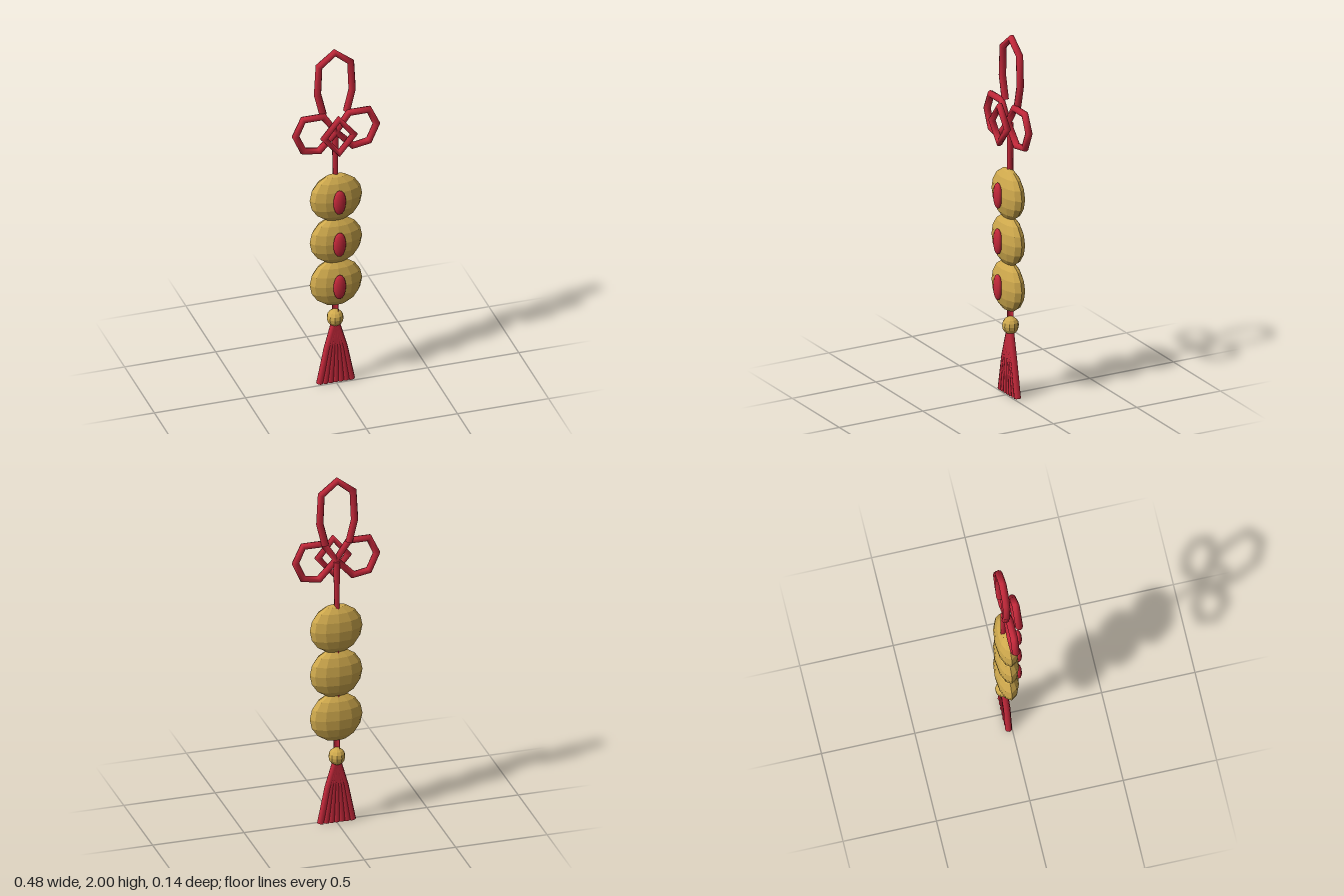
import * as THREE from 'three';

export function createModel() {
  const model = new THREE.Group();
  model.name = 'hangingCharm';
  const red = new THREE.MeshStandardMaterial({ color: 0xc4283a });
  red.name = 'red cord';
  const gold = new THREE.MeshStandardMaterial({ color: 0xcfa94d, flatShading: true });
  gold.name = 'gold bead';

  // Cord whose rings sit exactly on the given [x, y] points, so bends stay angular
  function cord(name, points, z, radius, closed = false) {
    const curve = new THREE.CatmullRomCurve3(
      points.map(([x, y, dz = 0]) => new THREE.Vector3(x, y, z + dz)), closed, 'catmullrom', 0.5);
    curve.getPointAt = (t, target) => curve.getPoint(t, target);
    curve.getTangentAt = (t, target) => curve.getTangent(t, target);
    const segments = closed ? points.length : points.length - 1;
    const group = new THREE.Group();
    group.name = name;
    group.add(new THREE.Mesh(new THREE.TubeGeometry(curve, segments, radius, 8, closed), red));
    // Flat end caps on open cords
    if (!closed) {
      for (const t of [0, 1]) {
        const cap = new THREE.Mesh(new THREE.CircleGeometry(radius, 8), red);
        const direction = curve.getTangent(t).multiplyScalar(t ? 1 : -1);
        cap.position.copy(curve.getPoint(t));
        cap.quaternion.setFromUnitVectors(new THREE.Vector3(0, 0, 1), direction);
        cap.name = name + 'End';
        group.add(cap);
      }
    }
    model.add(group);
  }

  function ellipsoid(name, material, size, position, sides, rings) {
    const mesh = new THREE.Mesh(new THREE.SphereGeometry(1, sides, rings), material);
    mesh.name = name;
    mesh.scale.set(...size);
    mesh.position.set(...position);
    model.add(mesh);
  }

  // Hanging loop, open at the bottom
  cord('hangingLoop', [[-0.065, 1.62], [-0.095, 1.745], [-0.087, 1.91], [0, 1.98],
    [0.087, 1.91], [0.095, 1.745], [0.065, 1.62]], -0.03, 0.02);

  // Knot: two side loops meeting in the middle, with a diamond in front
  for (const [side, name] of [[1, 'leftKnotLoop'], [-1, 'rightKnotLoop']]) {
    cord(name, [[0, 1.515], [0.07, 1.617], [0.18, 1.617], [0.222, 1.525],
      [0.18, 1.43], [0.093, 1.415]].map(([x, y]) => [x * side, y]), -0.01, 0.02, true);
  }
  cord('knotDiamond', [[0, 1.615], [0.082, 1.513], [0, 1.412], [-0.082, 1.513]], 0.04, 0.02, true);

  // Central cord through all the beads
  cord('centralCord', [[0, 0.36], [0, 1.51]], -0.023, 0.019);

  // Flattened beads, each with an oval inlay on the front
  for (const y of [1.12, 0.865, 0.61]) {
    ellipsoid('bead', gold, [0.144, 0.14, 0.061], [0, y, -0.012], 12, 8);
    ellipsoid('beadInlay', red, [0.035, 0.072, 0.02], [0, y, 0.052], 12, 8);
  }
  ellipsoid('tasselBead', gold, [0.045, 0.048, 0.045], [0, 0.385, -0.025], 10, 8);

  // Tassel: a flat fan of strands with a slight bend
  for (let i = -3; i <= 3; i++) {
    const x = i / 3;
    cord('tasselStrand', [[x * 0.004, 0.36, -0.005], [x * 0.048, 0.205], [x * 0.088, 0.006]],
      -0.018, 0.0185);
  }
  return model;
}
